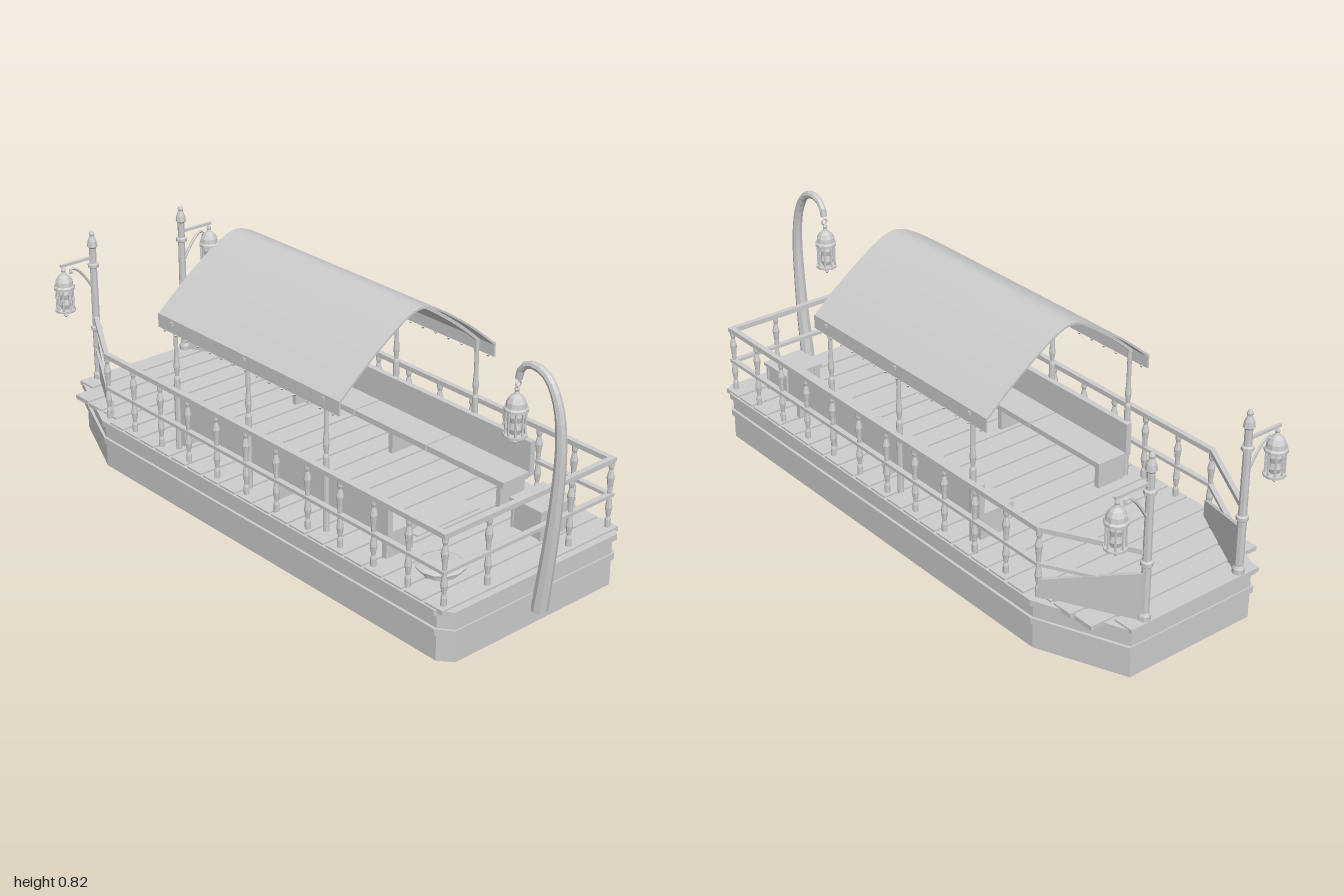
import * as THREE from 'three';

const grey = new THREE.MeshStandardMaterial({ color: 0xcccccc, flatShading: true });
grey.name = 'light grey';
const V = (x, y, z) => new THREE.Vector3(x, y, z);

function add(parent, name, geo, x = 0, y = 0, z = 0) {
  const m = new THREE.Mesh(geo, grey);
  m.name = name;
  m.position.set(x, y, z);
  parent.add(m);
  return m;
}
// box given by its limits on each axis
function box(parent, name, x0, x1, y0, y1, z0, z1) {
  return add(parent, name, new THREE.BoxGeometry(x1 - x0, y1 - y0, z1 - z0),
    (x0 + x1) / 2, (y0 + y1) / 2, (z0 + z1) / 2);
}
function beam(parent, name, a, b, w, h) {
  const m = add(parent, name, new THREE.BoxGeometry(w, h, a.distanceTo(b)));
  m.position.copy(a).lerp(b, 0.5);
  m.lookAt(b);
  return m;
}
function lathe(parent, name, pts, sides, x, y, z) {
  return add(parent, name, new THREE.LatheGeometry(pts.map(p => new THREE.Vector2(p[0], p[1])), sides), x, y, z);
}

// horizontal slab with the hull outline, grown by o
function hullSlab(parent, name, o, y0, y1) {
  const w = 0.355 + o, f = 0.918 + o / 2;
  const half = [[0.32 + o, f], [w, 0.875], [w, -0.69], [0.235 + o, -0.97 - o / 2]];
  const pts = [...half, ...half.slice().reverse().map(([x, z]) => [-x, z])];
  const shape = new THREE.Shape(pts.map(([x, z]) => new THREE.Vector2(x, -z)));
  const geo = new THREE.ExtrudeGeometry(shape, { depth: y1 - y0, bevelEnabled: false });
  geo.rotateX(-Math.PI / 2);
  add(parent, name, geo, 0, y0, 0);
}

// hanging lantern, y is its lowest point, total height 0.18
function lantern(parent, x, y, z) {
  const g = new THREE.Group();
  g.name = 'lantern';
  g.position.set(x, y, z);
  parent.add(g);
  lathe(g, 'lanternBase', [[0, 0], [0.007, 0.007], [0.004, 0.014], [0.02, 0.022], [0.035, 0.025], [0.035, 0.032], [0, 0.034]], 10, 0, 0, 0);
  lathe(g, 'lanternGlass', [[0.014, 0.03], [0.021, 0.05], [0.016, 0.068], [0.021, 0.086], [0.014, 0.106]], 8, 0, 0, 0);
  for (let i = 0; i < 8; i++) {
    const a = i * Math.PI / 4;
    add(g, 'lanternBar', new THREE.CylinderGeometry(0.0035, 0.0035, 0.08, 5), 0.028 * Math.cos(a), 0.068, 0.028 * Math.sin(a));
  }
  lathe(g, 'lanternRoof', [[0, 0.103], [0.036, 0.104], [0.036, 0.112], [0.031, 0.117], [0.029, 0.132], [0.021, 0.146],
    [0.009, 0.156], [0.006, 0.163], [0.008, 0.169], [0.004, 0.178], [0, 0.18]], 10, 0, 0, 0);
}

function tube(pts, r, n, sides, taper = 1) {
  const curve = new THREE.CatmullRomCurve3(pts);
  const geo = new THREE.TubeGeometry(curve, n, r, sides);
  const p = geo.attributes.position, v = new THREE.Vector3();
  for (let i = 0; i < p.count; i++) {
    const t = Math.floor(i / (sides + 1)) / n, c = curve.getPointAt(t);
    v.fromBufferAttribute(p, i).sub(c).multiplyScalar(1 + (taper - 1) * t).add(c);
    p.setXYZ(i, v.x, v.y, v.z);
  }
  return geo;
}

const balusterProfile = [[0.009, 0], [0.009, 0.03], [0.006, 0.04], [0.011, 0.07], [0.007, 0.1], [0.007, 0.118],
  [0.008, 0.14], [0.012, 0.17], [0.006, 0.195], [0.009, 0.205], [0.009, 0.222]];

export function createModel() {
  const boat = new THREE.Group();
  boat.name = 'boat';

  // hull with two raised bands
  hullSlab(boat, 'hull', 0, 0, 0.16);
  hullSlab(boat, 'lowerBand', 0.009, 0.085, 0.106);
  hullSlab(boat, 'upperBand', 0.013, 0.15, 0.169);

  // deck planks, stepping in along the narrow stern
  const pitch = 0.0826;
  for (let i = 0; i < 23; i++) {
    const z = -0.985 + i * pitch;
    const w = i === 0 ? 0.25 : i === 1 ? 0.325 : z < -0.7 ? 0.33 : 0.362;
    box(boat, 'deckPlank', -w, w, 0.16, 0.175, z, z + pitch - 0.012);
  }
  box(boat, 'deckHatch', -0.13, 0.13, 0.17, 0.18, 0.47, 0.56);

  // front railing
  for (const [y, h] of [[0.396, 0.016], [0.281, 0.011]]) {
    box(boat, 'frontRail', -0.348, 0.348, y - h / 2, y + h / 2, 0.873, 0.891);
  }
  for (const x of [-0.167, 0.167]) lathe(boat, 'baluster', balusterProfile, 8, x, 0.17, 0.882);

  for (const s of [-1, 1]) {
    const side = new THREE.Group();
    side.name = s > 0 ? 'leftSide' : 'rightSide';
    boat.add(side);

    // side railing, turning in towards the stern posts
    for (let i = 0; i < 12; i++) lathe(side, 'baluster', balusterProfile, 8, s * 0.337, 0.17, 0.882 - i * 0.1429);
    for (const [y, h] of [[0.396, 0.016], [0.281, 0.011]]) {
      beam(side, 'sideRail', V(s * 0.338, y, 0.89), V(s * 0.338, y, -0.695), 0.018, h);
      beam(side, 'sternRail', V(s * 0.338, y, -0.69), V(s * 0.185, y, -0.965), 0.016, h);
    }
    // sloping stern panel
    const dx = -s * 0.145, dz = -0.27, len = Math.hypot(dx, dz);
    const panel = new THREE.Shape([[0, 0.17], [len, 0.17], [len, 0.33], [0, 0.23]].map(p => new THREE.Vector2(...p)));
    const board = add(side, 'sternPanel', new THREE.ExtrudeGeometry(panel, { depth: 0.012, bevelEnabled: false }), s * 0.333, 0, -0.69);
    board.rotation.y = Math.atan2(-dz, dx);

    // stern lamp post with arm and brace
    lathe(side, 'sternPost', [[0.019, 0.17], [0.019, 0.19], [0.014, 0.2], [0.014, 0.35], [0.019, 0.354], [0.019, 0.366], [0.013, 0.37],
      [0.012, 0.578], [0.019, 0.582], [0.019, 0.593], [0.012, 0.597], [0.012, 0.65], [0.018, 0.656], [0.015, 0.675],
      [0.008, 0.692], [0.01, 0.7], [0.006, 0.708], [0, 0.711]], 8, s * 0.185, 0, -0.965);
    beam(side, 'lampArm', V(s * 0.185, 0.617, -0.965), V(s * 0.315, 0.617, -0.965), 0.009, 0.009);
    add(side, 'lampBrace', tube([V(s * 0.196, 0.515, -0.965), V(s * 0.225, 0.56, -0.965), V(s * 0.25, 0.588, -0.965),
      V(s * 0.272, 0.598, -0.965), V(s * 0.28, 0.588, -0.965), V(s * 0.27, 0.586, -0.965)], 0.005, 14, 5));
    lantern(side, s * 0.305, 0.432, -0.965);

    // bench: seat boards, legs and backrest
    const bx = (n, a, b, ...r) => box(side, n, Math.min(s * a, s * b), Math.max(s * a, s * b), ...r);
    for (let i = 0; i < 3; i++) {
      const z = -0.38 + i * 0.333;
      bx('seatBoard', 0.17, 0.295, 0.252, 0.27, z, z + 0.327);
    }
    bx('seatFrame', 0.18, 0.288, 0.243, 0.254, -0.37, 0.605);
    for (const z of [-0.36, 0.11, 0.585]) bx('benchLeg', 0.18, 0.285, 0.172, 0.25, z - 0.009, z + 0.009);
    bx('backrest', 0.28, 0.3, 0.255, 0.37, -0.38, 0.615);

    // canopy posts, valance and hanging beads
    for (const z of [-0.355, 0, 0.355]) {
      lathe(side, 'canopyPost', [[0.01, 0.17], [0.01, 0.42], [0.006, 0.43], [0.01, 0.46], [0.007, 0.5], [0.007, 0.62]], 8, s * 0.304, 0, z);
      bx('canopyPeg', 0.308, 0.32, 0.604, 0.614, z - 0.005, z + 0.005);
    }
    bx('valance', 0.309, 0.315, 0.576, 0.622, -0.428, 0.422);
    for (let i = 0; i < 15; i++) {
      add(side, 'valanceBead', new THREE.OctahedronGeometry(0.007), s * 0.312, 0.573, -0.4 + i * 0.0567);
    }
  }

  // arched canopy and the ribs beneath it
  const arc = [[-0.315, 0.618], [-0.25, 0.674], [-0.185, 0.724], [-0.1, 0.782], [-0.045, 0.812], [0, 0.823],
    [0.045, 0.812], [0.1, 0.782], [0.185, 0.724], [0.25, 0.674], [0.315, 0.618]];
  const top = new THREE.SplineCurve(arc.map(p => new THREE.Vector2(...p))).getPoints(30);
  const arch = (drop, thick, depth) => {
    const at = d => top.map(p => new THREE.Vector2(p.x * (1 - d * 0.8), p.y - d));
    const shape = new THREE.Shape([...at(drop + thick), ...at(drop).reverse()]);
    return new THREE.ExtrudeGeometry(shape, { depth, bevelEnabled: false });
  };
  add(boat, 'canopy', arch(0, 0.007, 0.85), 0, 0, -0.428);
  for (const z of [-0.355, 0, 0.355]) add(boat, 'canopyRib', arch(0.006, 0.012, 0.014), 0, 0, z - 0.007);
  for (const z of [-0.18, 0.18]) lantern(boat, 0, 0.632, z);

  // curved bow lamp pole
  add(boat, 'bowPole', tube([V(0, 0.047, 0.932), V(0, 0.2, 0.952), V(0, 0.4, 0.973), V(0, 0.6, 0.979), V(0, 0.71, 0.96),
    V(0, 0.775, 0.92), V(0, 0.793, 0.87), V(0, 0.775, 0.825), V(0, 0.735, 0.812)], 0.026, 32, 8, 0.42));
  add(boat, 'bowPoleFoot', new THREE.CylinderGeometry(0.024, 0.024, 0.006, 8), 0, 0.049, 0.932);
  add(boat, 'bowHook', new THREE.TorusGeometry(0.01, 0.003, 5, 10), 0, 0.718, 0.812);
  lantern(boat, 0, 0.532, 0.808);

  // round stool on the right of the bow
  lathe(boat, 'roundStool', [[0, 0.172], [0.055, 0.172], [0.058, 0.188], [0.073, 0.194], [0.075, 0.2], [0.06, 0.207], [0, 0.21]], 12, -0.215, 0, 0.745);

  // slatted crate on the left of the bow
  box(boat, 'crate', 0.125, 0.25, 0.172, 0.265, 0.7, 0.81);
  box(boat, 'crateLid', 0.115, 0.26, 0.263, 0.275, 0.69, 0.82);
  for (const x of [0.12, 0.162, 0.204, 0.235]) {
    for (const z of [0.695, 0.807]) box(boat, 'crateSlat', x, x + 0.02, 0.172, 0.264, z, z + 0.008);
  }
  return boat;
}
